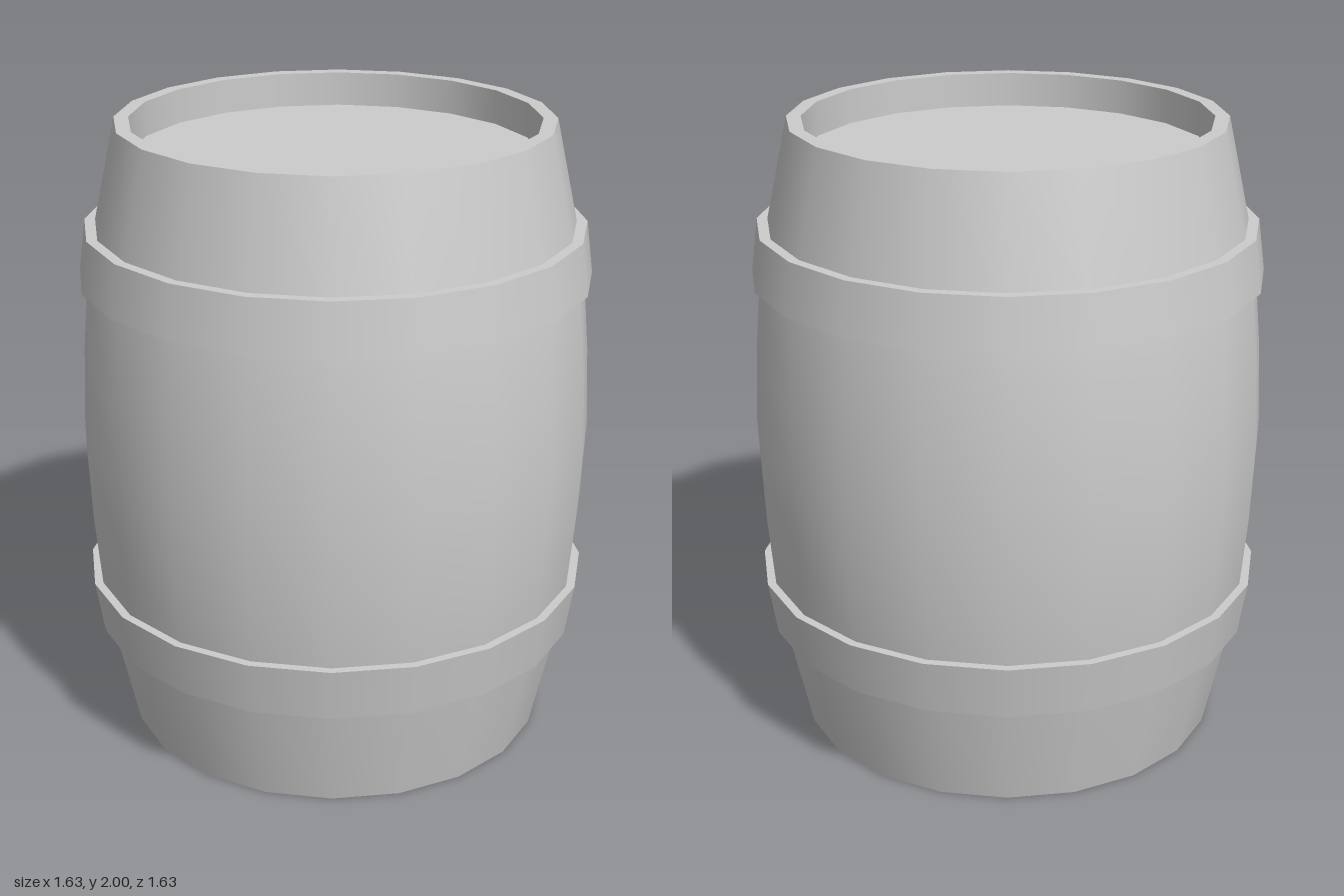
import * as THREE from 'three';
import { mergeGeometries } from 'three/addons/utils/BufferGeometryUtils.js';

const SIDES = 20;
const material = new THREE.MeshStandardMaterial({ color: 0xcccccc });

// Revolves each smooth run of [radius, y] points on its own, so edges between runs stay sharp
function turned(name, runs) {
  const parts = runs.map((run) =>
    new THREE.LatheGeometry(run.map(([r, y]) => new THREE.Vector2(r, y)), SIDES));
  const mesh = new THREE.Mesh(mergeGeometries(parts), material);
  mesh.name = name;
  return mesh;
}

// Hoop: closed ring with four sharp edges, tapering with the staves
function hoop(name, yLow, outerLow, innerLow, yHigh, outerHigh, innerHigh) {
  const a = [innerLow, yLow], b = [outerLow, yLow];
  const c = [outerHigh, yHigh], d = [innerHigh, yHigh];
  return turned(name, [[a, b], [b, c], [c, d], [d, a]]);
}

export function createModel() {
  const barrel = new THREE.Group();
  barrel.name = 'barrel';

  // Bulging stave wall, mirrored about mid height
  const lower = [[0.68, 0], [0.757, 0.35], [0.785, 0.52], [0.805, 0.75]];
  const upper = lower.map(([r, y]) => [r, 2 - y]).reverse();
  barrel.add(turned('staves', [[...lower, [0.816, 1], ...upper]]));

  // Flat rims and the inner walls behind them
  const inner = 0.635, topHead = 1.89, bottomHead = 0.065;
  barrel.add(turned('topRim', [
    [[0.68, 2], [inner, 2]],
    [[inner, 2], [inner, topHead]],
  ]));
  barrel.add(turned('bottomRim', [
    [[inner, bottomHead], [inner, 0]],
    [[inner, 0], [0.68, 0]],
  ]));

  // Recessed heads
  barrel.add(turned('topHead', [[[inner, topHead], [0, topHead]]]));
  barrel.add(turned('bottomHead', [[[0, bottomHead], [inner, bottomHead]]]));

  // Hoops
  barrel.add(hoop('lowerHoop', 0.35, 0.785, 0.74, 0.525, 0.813, 0.77));
  barrel.add(hoop('upperHoop', 1.51, 0.807, 0.77, 1.675, 0.785, 0.74));

  return barrel;
}
